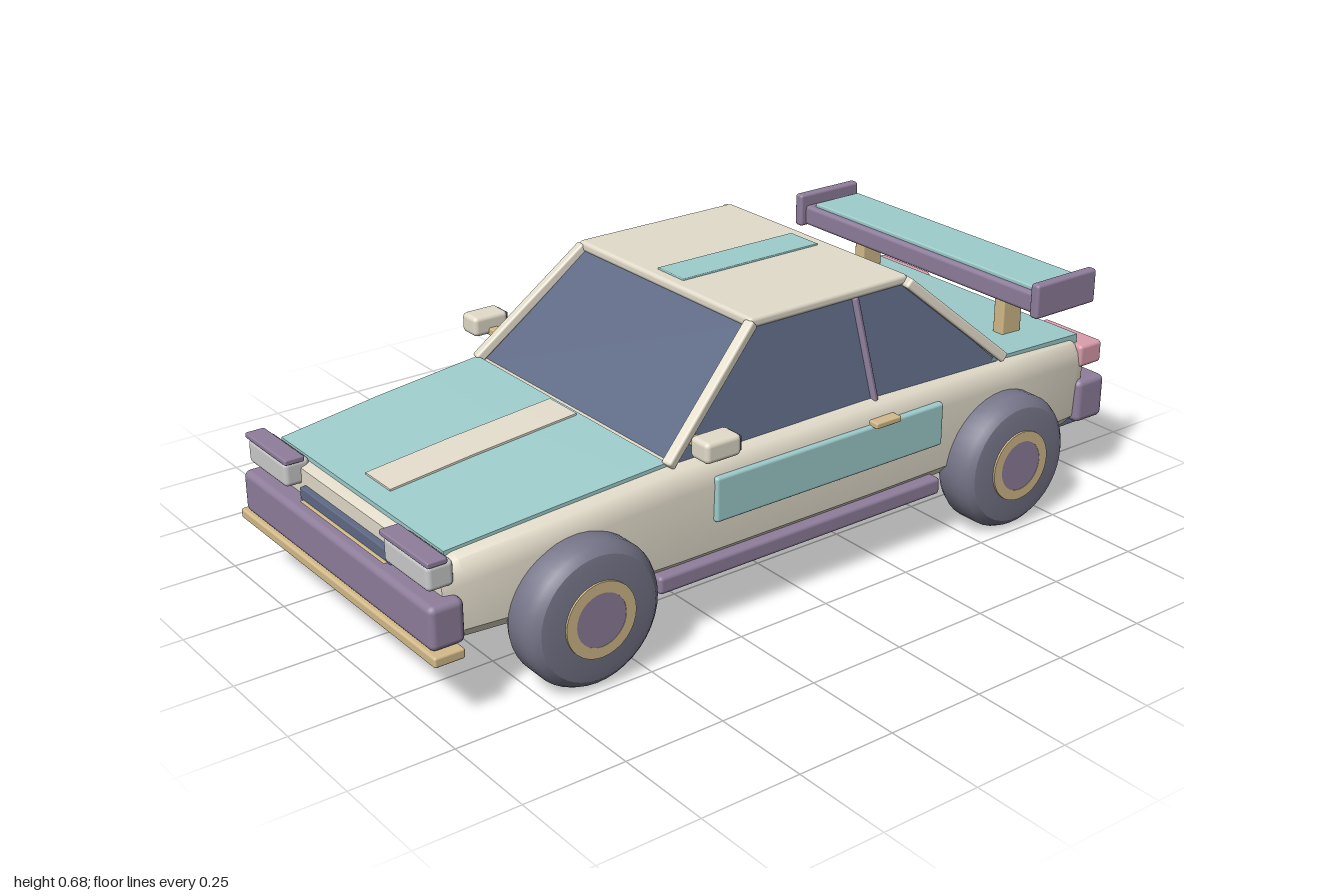
import * as THREE from 'three';
import { toCreasedNormals } from 'three/addons/utils/BufferGeometryUtils.js';
import { RoundedBoxGeometry } from 'three/addons/geometries/RoundedBoxGeometry.js';

const paint = (color) => new THREE.MeshStandardMaterial({ color });
const cream = paint(0xe3dccb), teal = paint(0x9fcdcd), purple = paint(0x8f7e9c), gold = paint(0xd4bb8a);
const navy = paint(0x5f6a86), rubber = paint(0x77768a), pink = paint(0xdb9dac), white = paint(0xe2e2e2);

export function createModel() {
  const car = new THREE.Group();
  car.name = 'car';

  const add = (name, geometry, material, parent = car) => {
    const mesh = new THREE.Mesh(geometry, material);
    mesh.name = name;
    parent.add(mesh);
    return mesh;
  };

  // Box given by its extents on each axis, with slightly rounded edges
  const box = (name, material, [x0, x1], [y0, y1], [z0, z1], r = 0.006) => {
    const w = x1 - x0, h = y1 - y0, d = z1 - z0;
    const mesh = add(name, new RoundedBoxGeometry(w, h, d, 2, Math.min(r, w * 0.45, h * 0.45, d * 0.45)), material);
    mesh.position.set((x0 + x1) / 2, (y0 + y1) / 2, (z0 + z1) / 2);
    return mesh;
  };

  // The same box on both sides; extents are for the left (+x)
  const pair = (name, material, [x0, x1], y, z, r) => {
    box(name + 'Left', material, [x0, x1], y, z, r);
    box(name + 'Right', material, [-x1, -x0], y, z, r);
  };

  // Bar between two points
  const bar = (name, material, a, b, w, h) => {
    const from = new THREE.Vector3(...a), to = new THREE.Vector3(...b);
    const mesh = add(name, new RoundedBoxGeometry(w, h, from.distanceTo(to), 2, Math.min(w, h) * 0.25), material);
    mesh.position.copy(from).lerp(to, 0.5);
    mesh.lookAt(to);
    return mesh;
  };

  // Closed skin through rings of points
  const loft = (rings, crease = 0.5) => {
    const n = rings[0].length, index = [];
    for (let i = 0; i < rings.length - 1; i++) {
      for (let j = 0; j < n; j++) {
        const a = i * n + j, b = i * n + (j + 1) % n;
        index.push(a, b, b + n, a, b + n, a + n);
      }
    }
    const last = (rings.length - 1) * n;
    for (let j = 1; j < n - 1; j++) index.push(0, j + 1, j, last, last + j, last + j + 1);
    const g = new THREE.BufferGeometry();
    g.setAttribute('position', new THREE.Float32BufferAttribute(rings.flat(2), 3));
    g.setIndex(index);
    return toCreasedNormals(g, crease);
  };

  // Flat panel following the deck: stations are [z, half width, top height]
  const panel = (name, material, stations, thick) => add(name, loft(stations.map(([z, w, y]) =>
    [[-w, y - thick, z], [w, y - thick, z], [w, y, z], [-w, y, z]])), material);

  // Body shell: stations are [z, half width, bottom, top]
  const stations = [
    [-0.93, 0.4, 0.18, 0.385], [-0.9, 0.41, 0.165, 0.402], [-0.65, 0.42, 0.16, 0.412], [-0.2, 0.427, 0.16, 0.418],
    [0.37, 0.427, 0.16, 0.414], [0.65, 0.418, 0.16, 0.39], [0.9, 0.4, 0.165, 0.364], [0.945, 0.385, 0.185, 0.35],
  ];
  add('body', loft(stations.map(([z, w, b, t]) => {
    const half = [[w - 0.035, b], [w - 0.008, b + 0.03], [w, t - 0.06], [w - 0.006, t - 0.03], [w - 0.02, t - 0.009], [w - 0.042, t]];
    return [...half.map(([x, y]) => [x, y, z]), ...half.reverse().map(([x, y]) => [-x, y, z])];
  }), 0.6), cream);

  // Hood, trunk lid and stripes
  panel('hood', teal, [[0.37, 0.385, 0.423], [0.65, 0.372, 0.398], [0.92, 0.355, 0.369]], 0.03);
  panel('hoodStripe', cream, [[0.38, 0.054, 0.427], [0.65, 0.054, 0.403], [0.87, 0.054, 0.379]], 0.02);
  panel('trunkLid', teal, [[-0.925, 0.38, 0.408], [-0.62, 0.385, 0.419]], 0.03);

  // Cabin glass and roof
  const rect = (w, y, zb, zf) => [[-w, y, zf], [w, y, zf], [w, y, zb], [-w, y, zb]];
  add('cabinGlass', loft([rect(0.388, 0.4, -0.645, 0.365), rect(0.328, 0.66, -0.365, 0.09)]), navy);
  box('roof', cream, [-0.335, 0.335], [0.652, 0.678], [-0.375, 0.1], 0.01);
  box('roofStripe', teal, [-0.05, 0.05], [0.67, 0.682], [-0.34, 0.07], 0.002);

  // Pillars
  for (const [s, side] of [[1, 'Left'], [-1, 'Right']]) {
    bar('frontPillar' + side, cream, [s * 0.387, 0.415, 0.37], [s * 0.326, 0.665, 0.09], 0.028, 0.025);
    bar('rearPillar' + side, cream, [s * 0.385, 0.418, -0.65], [s * 0.334, 0.664, -0.365], 0.042, 0.026);
    bar('middlePillar' + side, purple, [s * 0.388, 0.41, -0.233], [s * 0.331, 0.655, -0.212], 0.014, 0.016);
  }

  // Doors, handles, skirts and mirrors
  pair('doorPanel', teal, [0.4, 0.435], [0.263, 0.374], [-0.415, 0.27], 0.008);
  pair('doorHandle', gold, [0.41, 0.449], [0.37, 0.385], [-0.265, -0.188], 0.004);
  pair('sideSkirt', purple, [0.385, 0.435], [0.133, 0.177], [-0.415, 0.427], 0.01);
  pair('mirrorArm', gold, [0.375, 0.45], [0.445, 0.465], [0.28, 0.305], 0.004);
  pair('mirror', cream, [0.432, 0.495], [0.447, 0.498], [0.248, 0.345], 0.012);
  pair('mirrorGlass', navy, [0.44, 0.487], [0.454, 0.491], [0.244, 0.255], 0.002);

  // Front end
  box('frontBumper', purple, [-0.418, 0.418], [0.18, 0.285], [0.91, 0.995], 0.016);
  box('frontLip', gold, [-0.435, 0.435], [0.156, 0.181], [0.925, 1], 0.006);
  box('grille', navy, [-0.2, 0.2], [0.275, 0.314], [0.92, 0.96], 0.003);
  box('grilleTrim', gold, [-0.187, 0.187], [0.278, 0.287], [0.95, 0.968], 0.003);
  pair('headlight', white, [0.217, 0.398], [0.309, 0.37], [0.92, 0.985], 0.012);
  pair('headlightLid', purple, [0.208, 0.404], [0.368, 0.382], [0.938, 0.987], 0.004);

  // Rear end
  box('rearBumper', purple, [-0.418, 0.418], [0.177, 0.292], [-1, -0.905], 0.016);
  box('rearDiffuser', navy, [-0.36, 0.36], [0.146, 0.178], [-0.975, -0.88], 0.005);
  box('rearPanel', cream, [-0.183, 0.183], [0.325, 0.378], [-0.97, -0.91], 0.005);
  pair('tailLight', pink, [0.218, 0.41], [0.327, 0.386], [-0.988, -0.91], 0.01);
  pair('reverseLight', cream, [0.25, 0.31], [0.343, 0.37], [-0.993, -0.97], 0.003);

  // Rear wing
  pair('wingPost', gold, [0.245, 0.28], [0.405, 0.54], [-0.825, -0.76], 0.005);
  box('wing', purple, [-0.435, 0.435], [0.524, 0.578], [-0.888, -0.71], 0.01);
  box('wingTop', teal, [-0.405, 0.405], [0.565, 0.588], [-0.877, -0.725], 0.004);
  pair('wingEndPlate', purple, [0.426, 0.453], [0.522, 0.61], [-0.897, -0.693], 0.008);

  // Wheels
  const R = 0.172;
  const tireProfile = [[0, -0.064], [0.125, -0.064], [0.148, -0.06], [0.164, -0.046], [R, -0.03], [R, 0.03],
    [0.164, 0.046], [0.148, 0.06], [0.125, 0.064], [0, 0.064]].map((p) => new THREE.Vector2(...p));
  const tireGeo = toCreasedNormals(new THREE.LatheGeometry(tireProfile, 40), 0.5);
  const ringProfile = [[0.064, 0.055], [0.09, 0.055], [0.09, 0.069], [0.064, 0.069], [0.064, 0.055]]
    .map((p) => new THREE.Vector2(...p));
  const ringGeo = toCreasedNormals(new THREE.LatheGeometry(ringProfile, 32), 0.5);
  const hubGeo = new THREE.CylinderGeometry(0.065, 0.065, 0.012, 32).translate(0, 0.062, 0);
  for (const s of [1, -1]) {
    for (const [z, end] of [[0.628, 'front'], [-0.623, 'rear']]) {
      const wheel = new THREE.Group();
      wheel.name = end + 'Wheel' + (s > 0 ? 'Left' : 'Right');
      add('tire', tireGeo, rubber, wheel);
      add('rim', ringGeo, gold, wheel);
      add('hub', hubGeo, purple, wheel);
      wheel.rotation.z = -s * Math.PI / 2;
      wheel.position.set(s * 0.43, R, z);
      car.add(wheel);
    }
  }

  return car;
}
